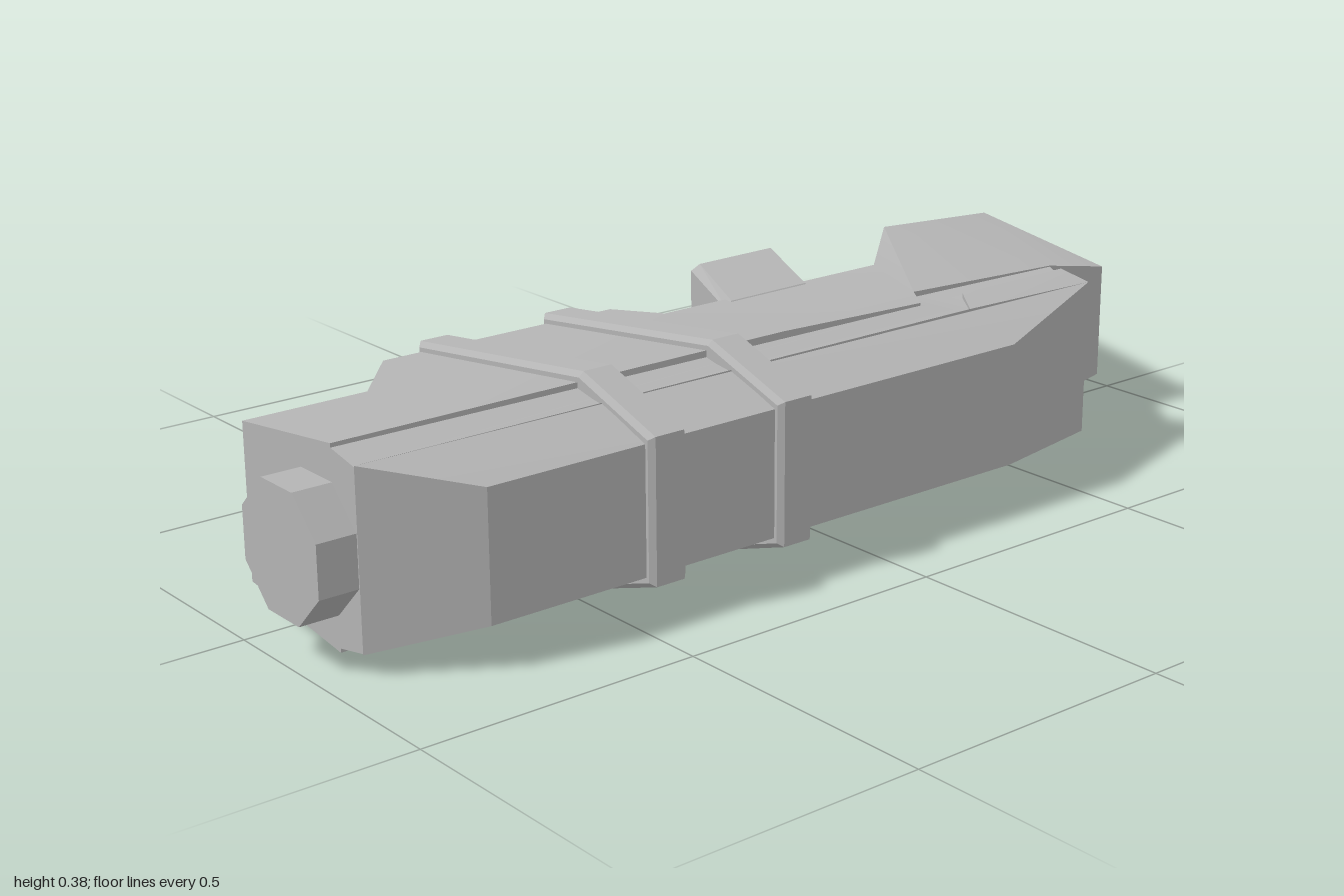
import * as THREE from 'three';
import { toCreasedNormals } from 'three/addons/utils/BufferGeometryUtils.js';

const MID = 0.188; // height of the mirror plane

// Slab mirrored about MID, from convex polygons of [x, z, halfHeight]; edges shared by two polygons get no wall
function slab(polygons) {
  const pos = [];
  const polys = polygons.map((p) => {
    let area = 0;
    p.forEach((a, i) => {
      const b = p[(i + 1) % p.length];
      area += a[0] * b[1] - b[0] * a[1];
    });
    return area > 0 ? [...p].reverse() : p;
  });
  const key = (a, b) => a.join() + '|' + b.join();
  const edges = new Set();
  polys.forEach((p) => p.forEach((a, i) => edges.add(key(a, p[(i + 1) % p.length]))));
  const put = (q, s) => pos.push(q[0], MID + s * q[2], q[1]);
  for (const p of polys) {
    for (let i = 1; i < p.length - 1; i++) {
      put(p[0], 1); put(p[i], 1); put(p[i + 1], 1);
      put(p[0], -1); put(p[i + 1], -1); put(p[i], -1);
    }
    p.forEach((a, i) => {
      const b = p[(i + 1) % p.length];
      if (edges.has(key(b, a))) return;
      put(a, -1); put(b, -1); put(b, 1);
      put(a, -1); put(b, 1); put(a, 1);
    });
  }
  const g = new THREE.BufferGeometry();
  g.setAttribute('position', new THREE.Float32BufferAttribute(pos, 3));
  g.computeVertexNormals();
  return toCreasedNormals(g, 0.25);
}

function bevelled(points, depth, bevel) {
  const shape = new THREE.Shape(points.map(([x, y]) => new THREE.Vector2(x, y)));
  return new THREE.ExtrudeGeometry(shape, {
    depth: depth - 2 * bevel, bevelEnabled: true, bevelSegments: 1,
    bevelSize: bevel, bevelOffset: -bevel, bevelThickness: bevel,
  }).translate(0, 0, bevel - depth / 2);
}

export function createModel() {
  const model = new THREE.Group();
  const grey = new THREE.MeshStandardMaterial({ color: 0xb4b4b4 });
  grey.name = 'grey';
  const add = (name, geometry) => {
    const mesh = new THREE.Mesh(geometry, grey);
    mesh.name = name;
    model.add(mesh);
    return mesh;
  };

  // Main frame with the flared grip at its end
  const a = [-0.7, 0.175, 0.17], b = [-0.7, -0.09, 0.136];
  const c = [-0.035, 0.175, 0.17], d = [-0.035, -0.15, 0.1285];
  const e = [0.35, 0.095, 0.152], f = [0.48, -0.15, 0.1285];
  const g = [0.71, 0.095, 0.138], h = [0.7, -0.355, 0.127];
  add('frameAndGrip', slab([
    [[-0.93, 0.175, 0.17], a, b, [-0.93, -0.09, 0.136]],
    [a, c, d, [-0.06, -0.28, 0.112], [-0.55, -0.28, 0.112], b],
    [c, [0.29, 0.175, 0.16], e, f, d],
    [e, g, h, f],
    [g, [0.86, 0.095, 0.11], [0.99, -0.355, 0.11], h],
  ]));

  // Recessed strip between the frame and the outer block
  const s1 = [0.29, 0.175, 0.155], s2 = [0.35, 0.24, 0.147];
  const s3 = [0.35, 0.095, 0.142], s4 = [0.4, 0.17, 0.148];
  add('sideStrip', slab([
    [[-0.93, 0.175, 0.163], s1, s2, [-0.93, 0.24, 0.15]],
    [s1, s3, s4, s2],
    [s3, [0.71, 0.095, 0.136], [0.655, 0.17, 0.146], s4],
  ]));

  // Outer block with sloping shoulders
  const k1 = [0.35, 0.24, 0.152], k2 = [0.66, 0.24, 0.146];
  add('outerBlock', slab([
    [[-0.93, 0.24, 0.152], [-0.77, 0.35, 0.112], [0.35, 0.35, 0.112], k2, k1],
    [k1, k2, [0.66, 0.17, 0.157], [0.4, 0.17, 0.157]],
  ]));

  // Two bands wrapped around the body; the profile runs in z and y
  const half = [[0.365, 0.126], [0.18, 0.188], [-0.295, 0.127]];
  const ring = [...half, ...half.map(([z, y]) => [z, -y]).reverse()].map(([z, y]) => [-z, y]);
  for (const [name, x] of [['frontBand', -0.435], ['rearBand', -0.168]]) {
    add(name, bevelled(ring, 0.074, 0.009).rotateY(Math.PI / 2)).position.set(x, MID, 0);
  }

  // Octagonal muzzle
  const muzzle = new THREE.CylinderGeometry(0.117, 0.117, 0.12, 8).rotateY(Math.PI / 8).rotateZ(Math.PI / 2);
  add('muzzle', toCreasedNormals(muzzle, 0.3)).position.set(-0.94, MID, 0.13);

  // Slanted rear lug and the small nub beside it
  const lug = [[0.08, 0.11], [0.29, 0.11], [0.415, 0.37], [0.205, 0.37]];
  add('rearLug', bevelled(lug, 0.268, 0.015).rotateX(-Math.PI / 2)).position.y = MID;
  add('nub', slab([[[0.07, -0.14, 0.043], [0.075, -0.2, 0.043], [0.15, -0.23, 0.043], [0.15, -0.14, 0.043]]]));
  return model;
}
